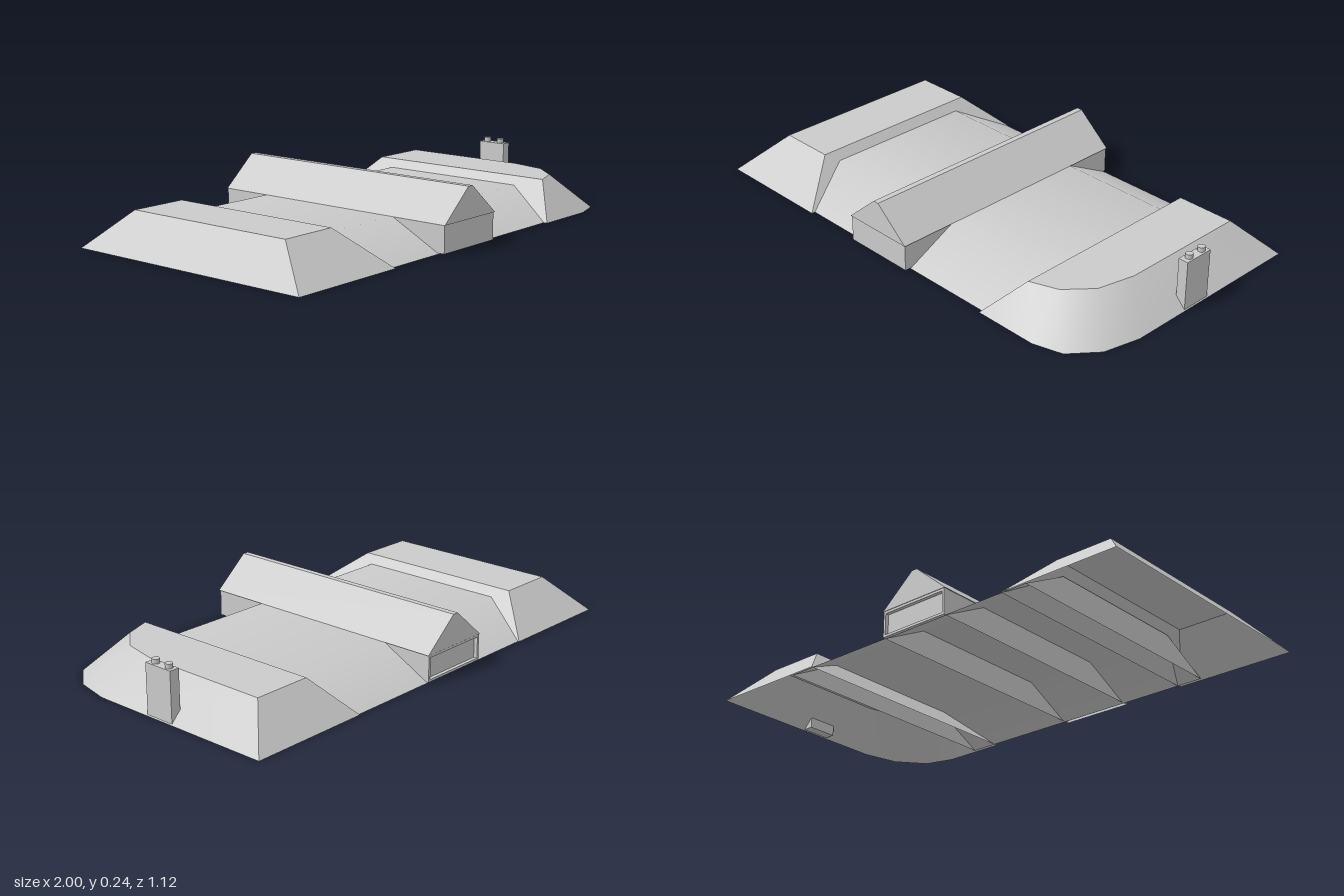
import * as THREE from 'three';
import { toCreasedNormals } from 'three/addons/utils/BufferGeometryUtils.js';

const material = new THREE.MeshStandardMaterial({ color: 0xcccccc, side: THREE.DoubleSide });

// Open-bottomed mound: a base ring of [x, z] lofted to a top ring, then capped
function mound(name, base, top, height, y0 = 0) {
  const pos = [];
  const lo = base.map(([x, z]) => new THREE.Vector3(x, y0, z));
  const hi = top.map(([x, z]) => new THREE.Vector3(x, height, z));
  const tri = (a, b, c) => {
    if (a.equals(b) || b.equals(c) || c.equals(a)) return;
    for (const p of [a, b, c]) pos.push(p.x, p.y, p.z);
  };
  for (let i = 0; i < lo.length; i++) {
    const j = (i + 1) % lo.length;
    tri(lo[i], hi[i], lo[j]);
    tri(lo[j], hi[i], hi[j]);
    if (i > 0 && j > 0) tri(hi[0], hi[j], hi[i]);
  }
  const geo = new THREE.BufferGeometry();
  geo.setAttribute('position', new THREE.Float32BufferAttribute(pos, 3));
  return named(name, toCreasedNormals(geo, 0.55));
}

function named(name, geometry, x = 0, y = 0, z = 0) {
  const mesh = new THREE.Mesh(geometry, material);
  mesh.name = name;
  mesh.position.set(x, y, z);
  return mesh;
}

const rect = (x0, x1, z0, z1) => [[x0, z0], [x1, z0], [x1, z1], [x0, z1]];

export function createModel() {
  const model = new THREE.Group();
  model.name = 'earthwork';

  // Raised platform between the two banks
  model.add(mound('platform', rect(-0.6, 0.6, -0.555, 0.53), rect(-0.6, 0.6, -0.34, 0.31), 0.112));

  // Straight bank
  model.add(mound('rightBank', rect(-1, -0.49, -0.56, 0.545), rect(-0.865, -0.625, -0.405, 0.36), 0.146));

  // Bank with a rounded front corner
  model.add(mound('leftBank',
    [[0.485, -0.56], [1, -0.56], [1, 0.25], [0.965, 0.4], [0.875, 0.51], [0.755, 0.545], [0.485, 0.545]],
    [[0.615, -0.42], [0.86, -0.42], [0.86, 0.13], [0.825, 0.285], [0.735, 0.388], [0.62, 0.43], [0.62, 0.43]],
    0.146));

  // Gabled passage across the middle
  const passage = new THREE.Group();
  passage.name = 'passage';
  passage.add(mound('passageWalls', rect(-0.217, 0.093, -0.545, 0.555), rect(-0.217, 0.093, -0.545, 0.555), 0.111, 0.003));
  const gable = new THREE.Shape([[-0.22, 0.112], [0.098, 0.112], [-0.05, 0.238], [-0.075, 0.238]]
    .map(([x, y]) => new THREE.Vector2(x, y)));
  passage.add(named('roof', new THREE.ExtrudeGeometry(gable, { depth: 1.12, bevelEnabled: false }), 0, 0, -0.561));

  // Frame around the recessed back end
  for (const y of [0.008, 0.106]) {
    passage.add(named('frameRail', new THREE.BoxGeometry(0.31, 0.01, 0.015), -0.062, y, -0.5525));
  }
  for (const x of [-0.212, 0.088]) {
    passage.add(named('frameStile', new THREE.BoxGeometry(0.01, 0.088, 0.015), x, 0.057, -0.5525));
  }
  model.add(passage);

  // Upright block with two studs
  const post = new THREE.Group();
  post.name = 'post';
  post.add(named('postBlock', new THREE.BoxGeometry(0.042, 0.202, 0.128), 0.975, 0.105, -0.063));
  for (const z of [-0.031, -0.1]) {
    post.add(named('stud', new THREE.CylinderGeometry(0.015, 0.015, 0.02, 12), 0.975, 0.214, z));
  }
  model.add(post);

  return model;
}
